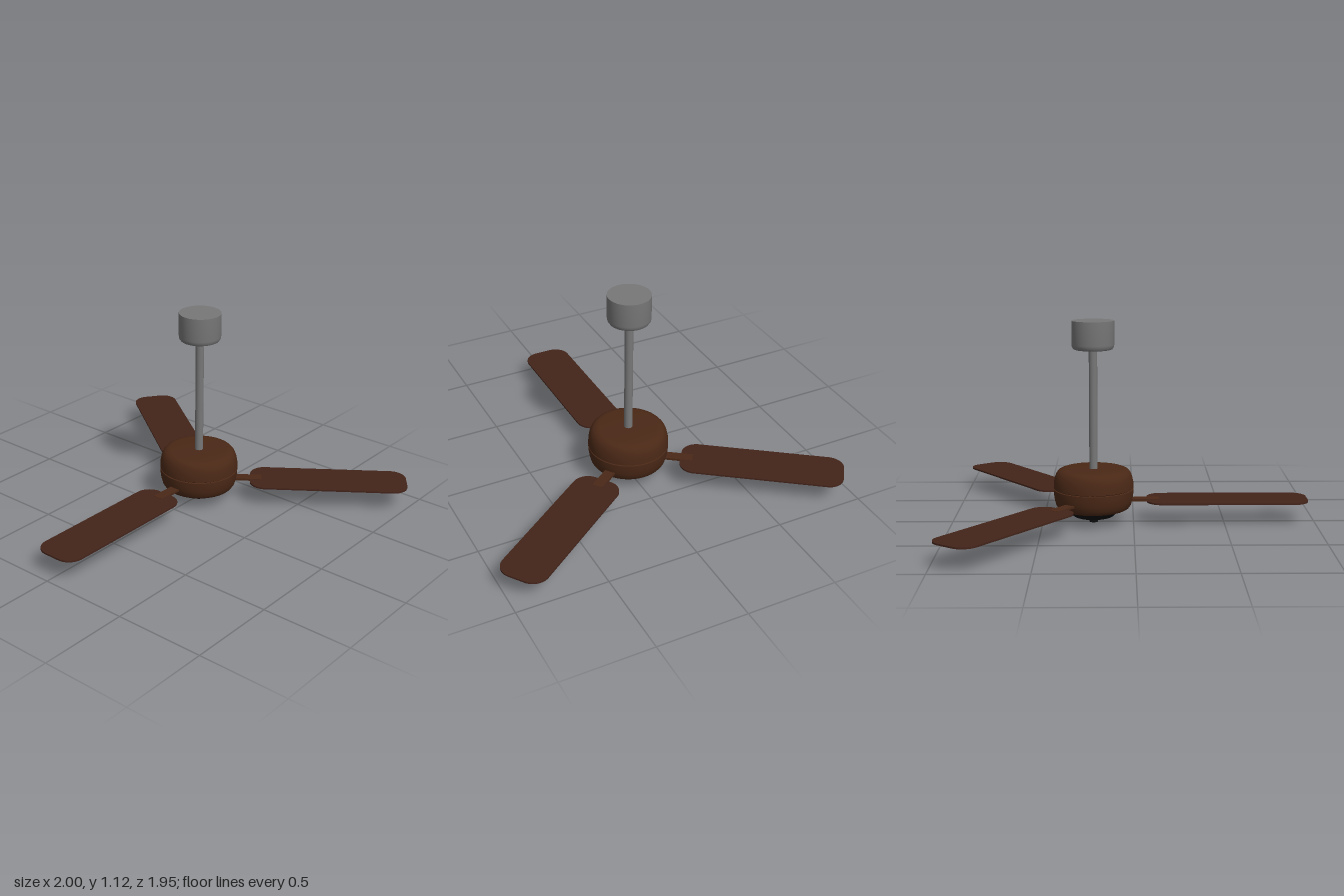
import * as THREE from 'three';
import { toCreasedNormals } from 'three/addons/utils/BufferGeometryUtils.js';

const material = (color) => new THREE.MeshStandardMaterial({ color });
const brown = material(0x4a2816);
const bladeBrown = material(0x43241a);
const grey = material(0x777777);
const black = material(0x0c0c0c);

function addMesh(parent, name, geometry, mat) {
  const mesh = new THREE.Mesh(geometry, mat);
  mesh.name = name;
  parent.add(mesh);
  return mesh;
}

// Turned part from [radius, height] points listed from bottom to top
function turned(points, segments = 48) {
  const profile = points.map(([r, y]) => new THREE.Vector2(r, y));
  return toCreasedNormals(new THREE.LatheGeometry(profile, segments), 0.6);
}

// Flat slab with rounded corners reaching from z0 to z1
function roundedSlab(z0, z1, halfWidth, radius, thickness) {
  const w = halfWidth, r = radius, a = -z1, b = -z0;
  const s = new THREE.Shape();
  s.moveTo(-w + r, a);
  s.lineTo(w - r, a);
  s.absarc(w - r, a + r, r, -Math.PI / 2, 0);
  s.lineTo(w, b - r);
  s.absarc(w - r, b - r, r, 0, Math.PI / 2);
  s.lineTo(-w + r, b);
  s.absarc(-w + r, b - r, r, Math.PI / 2, Math.PI);
  s.lineTo(-w, a + r);
  s.absarc(-w + r, a + r, r, Math.PI, Math.PI * 1.5);
  const g = new THREE.ExtrudeGeometry(s, { depth: thickness, bevelEnabled: false, curveSegments: 10 });
  g.rotateX(-Math.PI / 2);
  return g.translate(0, -thickness / 2, 0);
}

export function createModel() {
  const fan = new THREE.Group();
  fan.name = 'ceilingFan';
  fan.position.z = -0.22;

  // Motor housing in two shells with a narrow seam
  addMesh(fan, 'lowerHousing', turned([
    [0, 0.075], [0.18, 0.075], [0.195, 0.083], [0.207, 0.1],
    [0.215, 0.13], [0.219, 0.16], [0.22, 0.187], [0.214, 0.19], [0, 0.19],
  ]), brown);
  addMesh(fan, 'upperHousing', turned([
    [0, 0.19], [0.214, 0.19], [0.22, 0.194], [0.219, 0.225], [0.213, 0.255],
    [0.204, 0.277], [0.191, 0.292], [0.173, 0.299], [0.16, 0.3], [0, 0.3],
  ]), brown);

  // Bottom cap and finial
  addMesh(fan, 'bottomCap', turned([
    [0, 0.032], [0.1, 0.032], [0.112, 0.037], [0.142, 0.066], [0.15, 0.076], [0, 0.076],
  ]), black);
  addMesh(fan, 'finial', turned([[0, 0], [0.024, 0], [0.024, 0.034], [0, 0.034]], 24), black);

  // Hanging rod and ceiling canopy
  addMesh(fan, 'downRod', new THREE.CylinderGeometry(0.023, 0.023, 0.68, 24), grey).position.y = 0.63;
  addMesh(fan, 'canopy', turned([
    [0, 0.957], [0.095, 0.957], [0.107, 0.961], [0.114, 0.972], [0.116, 0.985],
    [0.116, 1.115], [0, 1.115],
  ]), grey);

  // Three blades with their arms
  const bladeGeometry = roundedSlab(0.293, 1.18, 0.131, 0.085, 0.009);
  const armGeometry = new THREE.BoxGeometry(0.058, 0.012, 0.22).translate(0, 0, 0.25);
  for (const degrees of [0, 126, -126]) {
    const assembly = new THREE.Group();
    assembly.name = 'bladeAssembly';
    assembly.position.y = 0.126;
    assembly.rotation.y = THREE.MathUtils.degToRad(degrees);
    addMesh(assembly, 'blade', bladeGeometry, bladeBrown);
    addMesh(assembly, 'bladeArm', armGeometry, brown);
    fan.add(assembly);
  }

  const model = new THREE.Group();
  model.add(fan);
  return model;
}
